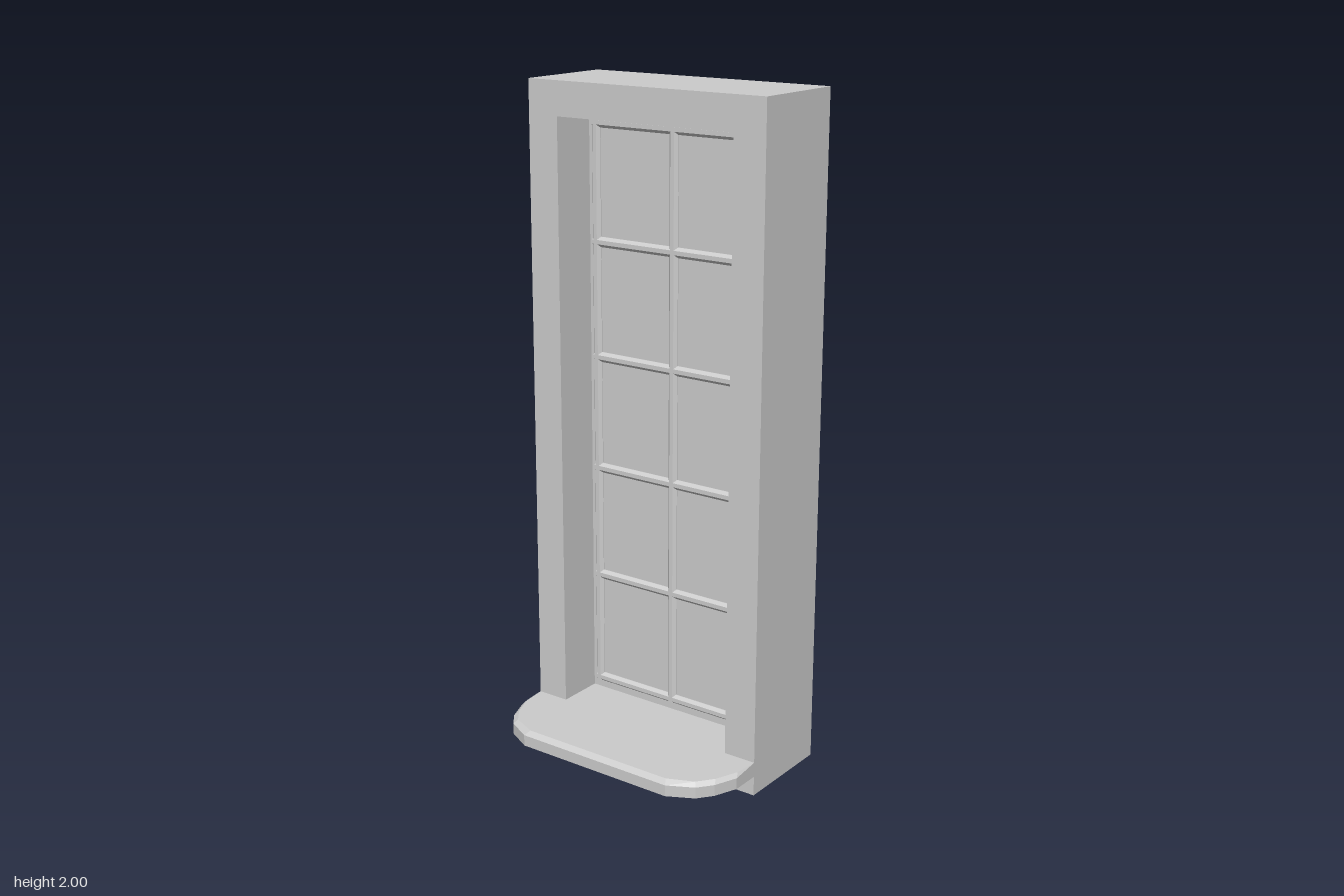
import * as THREE from 'three';

const material = new THREE.MeshStandardMaterial({ color: 0xcccccc, flatShading: true });
const wallBack = -0.035, wallFront = 0.28;
const holeBottom = 0.105, holeTop = 1.9, holeZ = 0.298;
const paneX = 0.12;

function rect(path, z, y0, y1) {
  path.moveTo(-z, y0);
  path.lineTo(z, y0);
  path.lineTo(z, y1);
  path.lineTo(-z, y1);
  path.closePath();
  return path;
}

// Upright rectangular ring, extruded along x
function ring(name, outer, inner, x0, x1) {
  const shape = rect(new THREE.Shape(), ...outer);
  shape.holes.push(rect(new THREE.Path(), ...inner));
  const geometry = new THREE.ExtrudeGeometry(shape, { depth: x1 - x0, bevelEnabled: false });
  geometry.rotateY(Math.PI / 2).translate(x0, 0, 0);
  const mesh = new THREE.Mesh(geometry, material);
  mesh.name = name;
  return mesh;
}

// Half outline of the ledge as [x, z], from the wall to the outer edge
const half = (points) => [...points, ...points.slice().reverse().map(([x, z]) => [x, -z])];

function ledgeGeometry() {
  const outline = half([[wallBack, 0.4], [-0.125, 0.4], [-0.195, 0.372], [-0.24, 0.337], [-0.28, 0.26]]);
  const inset = half([[wallBack, 0.4], [-0.11, 0.393], [-0.18, 0.365], [-0.228, 0.328], [-0.262, 0.25]]);
  const loops = [[outline, 0.06], [outline, 0.094], [inset, holeBottom]];
  const positions = [], index = [], n = outline.length;
  for (const [loop, y] of loops) for (const [x, z] of loop) positions.push(x, y, z);
  for (let l = 0; l < loops.length - 1; l++) {
    for (let i = 0; i < n; i++) {
      const a = l * n + i, b = l * n + (i + 1) % n;
      index.push(a, a + n, b, b, a + n, b + n);
    }
  }
  // Bottom and top caps
  const top = (loops.length - 1) * n;
  for (let i = 1; i < n - 1; i++) {
    index.push(0, i, i + 1, top, top + i + 1, top + i);
  }
  const geometry = new THREE.BufferGeometry();
  geometry.setAttribute('position', new THREE.Float32BufferAttribute(positions, 3));
  geometry.setIndex(index);
  const flat = geometry.toNonIndexed();
  flat.computeVertexNormals();
  return flat;
}

// Eight-sided glazing bar
function bar(name, length, y, z, horizontal) {
  const geometry = new THREE.CylinderGeometry(0.0165, 0.0165, length, 8);
  geometry.rotateY(Math.PI / 8);
  if (horizontal) geometry.rotateX(Math.PI / 2);
  const mesh = new THREE.Mesh(geometry, material);
  mesh.name = name;
  mesh.position.set(paneX, y, z);
  return mesh;
}

export function createModel() {
  const model = new THREE.Group();
  model.name = 'windowWithLedge';

  // Deep wall surround with its opening
  model.add(ring('wallSurround', [0.4, 0, 2], [holeZ, holeBottom, holeTop], wallBack, wallFront));

  // Rounded ledge, level with the bottom of the opening
  const ledge = new THREE.Mesh(ledgeGeometry(), material);
  ledge.name = 'ledge';
  model.add(ledge);

  // Window: thin sash, glass and a grid of bars two panes wide, five high
  const sash = new THREE.Group();
  sash.name = 'window';
  const barZ = 0.276, barBottom = 0.138, barTop = 1.872;
  sash.add(ring('sashFrame', [holeZ, holeBottom, holeTop], [barZ, barBottom, barTop], paneX - 0.01, paneX + 0.01));

  const glass = new THREE.Mesh(new THREE.BoxGeometry(0.008, barTop - barBottom, 2 * barZ), material);
  glass.name = 'glass';
  glass.position.set(paneX, (barTop + barBottom) / 2, 0);
  sash.add(glass);

  for (const z of [-barZ, 0, barZ]) {
    sash.add(bar('verticalBar', barTop - barBottom + 0.02, (barTop + barBottom) / 2, z, false));
  }
  for (let i = 0; i <= 5; i++) {
    const y = barBottom + (barTop - barBottom) * i / 5;
    sash.add(bar('horizontalBar', 2 * barZ + 0.02, y, 0, true));
  }
  model.add(sash);
  return model;
}
